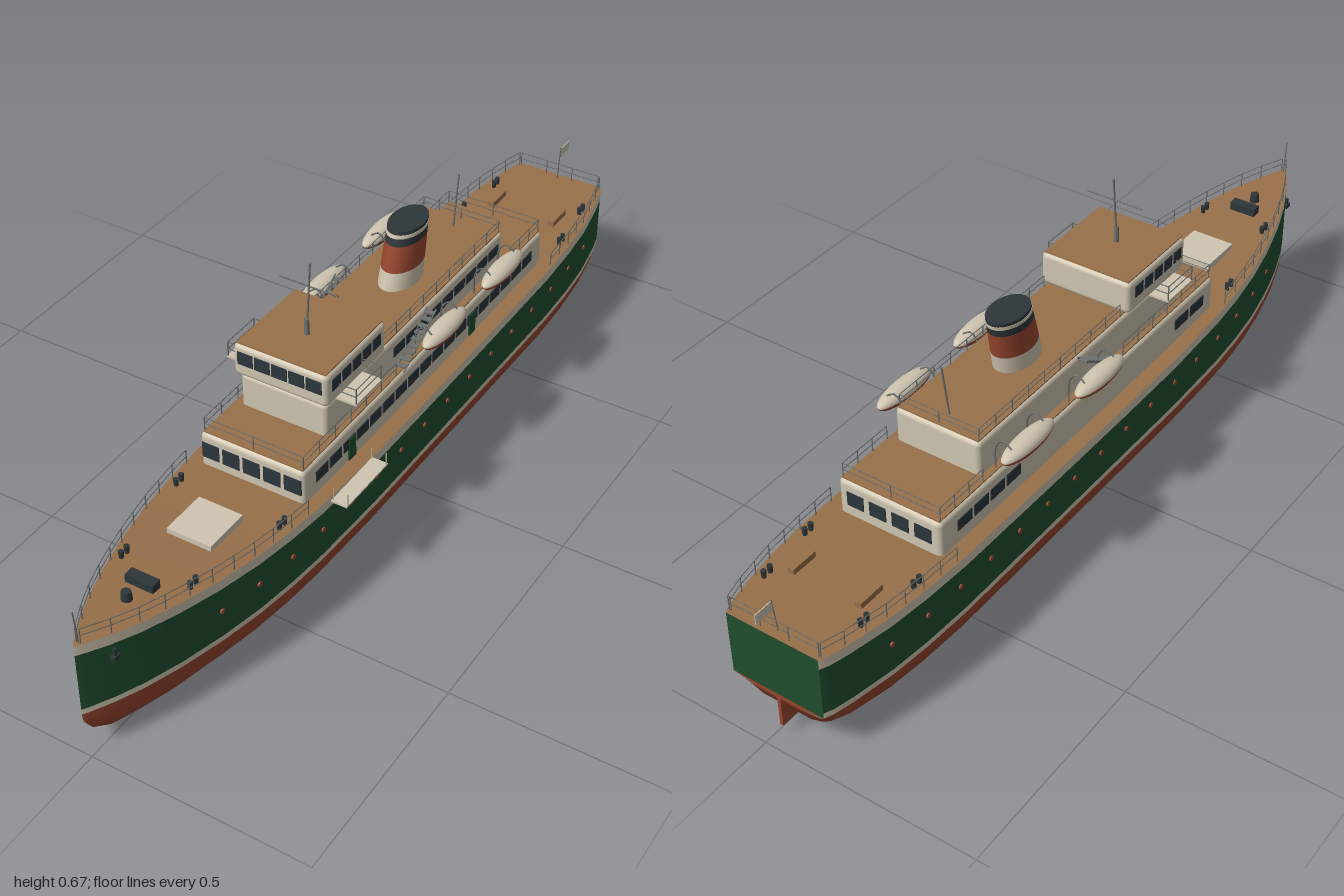
import * as THREE from 'three';
import { mergeGeometries } from 'three/addons/utils/BufferGeometryUtils.js';
import { RoundedBoxGeometry } from 'three/addons/geometries/RoundedBoxGeometry.js';

const mat = (name, color) => Object.assign(new THREE.MeshStandardMaterial({ color }), { name });
const V = (x, y, z) => new THREE.Vector3(x, y, z);

export function createModel() {
  const M = {
    green: mat('hullGreen', 0x1f4d2e), red: mat('rustRed', 0x98462f), cream: mat('cream', 0xcfc5b0),
    deck: mat('deckBrown', 0x98704a), dark: mat('charcoal', 0x2d363a), glass: mat('windowGlass', 0x2b363c),
    metal: mat('railGrey', 0x6c706e),
  };
  const ship = new THREE.Group();
  ship.name = 'ship';
  ship.position.x = -0.013;

  const add = (name, material, geos) => {
    const list = [].concat(geos).map((g) => (g.index ? g.toNonIndexed() : g));
    const mesh = new THREE.Mesh(list.length > 1 ? mergeGeometries(list) : list[0], material);
    mesh.name = name;
    ship.add(mesh);
    return mesh;
  };
  const box = (w, h, d, x, y, z) => new THREE.BoxGeometry(w, h, d).translate(x, y, z);
  const cyl = (r0, r1, h, x, y, z, n = 12) => new THREE.CylinderGeometry(r1, r0, h, n).translate(x, y, z);
  const rod = (a, b, r = 0.0013) => {
    const d = b.clone().sub(a), g = new THREE.CylinderGeometry(r, r, d.length(), 5);
    g.applyQuaternion(new THREE.Quaternion().setFromUnitVectors(V(0, 1, 0), d.normalize()));
    const c = a.clone().add(b).multiplyScalar(0.5);
    return g.translate(c.x, c.y, c.z);
  };
  // surface through rows of points
  const loft = (rows) => {
    const n = rows[0].length, idx = [];
    for (let i = 0; i < rows.length - 1; i++) for (let j = 0; j < n - 1; j++) {
      const a = i * n + j, b = a + n;
      idx.push(a, b, a + 1, b, b + 1, a + 1);
    }
    const g = new THREE.BufferGeometry().setFromPoints(rows.flat());
    g.setAttribute('uv', new THREE.Float32BufferAttribute(new Float32Array(rows.length * n * 2), 2));
    g.setIndex(idx);
    g.computeVertexNormals();
    return g;
  };

  // hull stations: z, half width, keel height
  const stations = [
    [-0.965, 0.112, 0.1], [-0.945, 0.121, 0.06], [-0.9, 0.132, 0.036], [-0.8, 0.15, 0.022], [-0.7, 0.159, 0.016],
    [-0.58, 0.164, 0.012], [-0.3, 0.164, 0.012], [0, 0.164, 0.012], [0.2, 0.164, 0.012], [0.4, 0.158, 0.012],
    [0.5, 0.15, 0.012], [0.6, 0.137, 0.013], [0.7, 0.117, 0.016], [0.8, 0.09, 0.02], [0.88, 0.062, 0.027],
    [0.94, 0.035, 0.038], [0.98, 0.013, 0.06], [0.995, 0.004, 0.085], [1, 0, 0.105]];
  const sheer = (z) => (z > 0 ? 0.25 + 0.04 * z * z : 0.25 + 0.013 * z * z);
  const halfWidth = (z) => {
    const i = Math.max(1, stations.findIndex((s) => s[0] >= z)), a = stations[i - 1], b = stations[i];
    return THREE.MathUtils.mapLinear(z, a[0], b[0], a[1], b[1]);
  };
  const bilge = [[1, 1], [0.965, 0.72], [0.9, 0.47], [0.72, 0.19], [0.5, 0], [0, 0]];
  const section = ([z, w, k]) => {
    const half = bilge.map(([f, v]) => V(w * f, k + (0.11 - k) * v, z));
    return [...half, ...half.slice(0, -1).reverse().map((p) => V(-p.x, p.y, p.z))];
  };
  add('lowerHull', M.red, loft(stations.map(section)));
  const band = (low, high) => [1, -1].map((s) => loft(stations.map(([z, w]) => {
    const p = [V(s * w, high(z), z), V(s * w, low(z), z)];
    return s > 0 ? p : p.reverse();
  })));
  add('waterlineStripe', M.cream, band(() => 0.11, () => 0.123));
  add('upperHull', M.green, band(() => 0.123, (z) => sheer(z) - 0.024));
  add('bulwark', M.cream, band((z) => sheer(z) - 0.024, sheer));
  add('mainDeck', M.deck, loft(stations.map(([z, w]) => [V(-w, sheer(z), z), V(w, sheer(z), z)])));
  const across = (y, w) => [V(-w, y, -0.965), V(w, y, -0.965)];
  add('transom', M.green, loft([across(0.11, 0.112), across(sheer(-0.965), 0.112)]));
  add('transomFoot', M.red, loft([across(0.1, 0.056), across(0.11, 0.112)]));

  // superstructure with planked roofs
  const house = (name, w, y0, y1, z0, z1) => {
    const h = y1 - y0, d = z1 - z0, y = (y0 + y1) / 2, z = (z0 + z1) / 2;
    add(name, M.cream, new RoundedBoxGeometry(2 * w, h, d, 3, 0.012).translate(0, y, z));
    add(name + 'Roof', M.deck, box(2 * w - 0.012, 0.003, d - 0.012, 0, y1 + 0.0005, z));
  };
  house('lowerDeckhouse', 0.127, 0.235, 0.338, -0.61, 0.42);
  house('upperDeckhouse', 0.105, 0.325, 0.42, -0.45, 0.3);
  house('wheelhouse', 0.1135, 0.421, 0.5, 0.08, 0.31);

  // windows
  const panes = [];
  const sideRow = (s, x, y, h, z0, z1, n, fill = 0.8) => {
    const p = (z1 - z0) / n;
    for (let i = 0; i < n; i++) panes.push(box(0.004, h, p * fill, s * x, y, z0 + p * (i + 0.5)));
  };
  const endRow = (z, y, h, w, pitch, n) => {
    for (let i = 0; i < n; i++) panes.push(box(w, h, 0.004, (i - (n - 1) / 2) * pitch, y, z));
  };
  for (const s of [1, -1]) sideRow(s, 0.1135, 0.469, 0.028, 0.1, 0.295, 5);
  sideRow(1, 0.127, 0.298, 0.027, -0.56, 0.38, 18, 0.86);
  sideRow(-1, 0.127, 0.298, 0.027, -0.56, -0.34, 4, 0.86);
  sideRow(-1, 0.127, 0.298, 0.027, 0.25, 0.38, 2, 0.86);
  sideRow(1, 0.105, 0.385, 0.024, -0.43, 0.04, 9, 0.86);
  endRow(0.31, 0.469, 0.031, 0.037, 0.0415, 5);
  endRow(0.42, 0.297, 0.038, 0.041, 0.05, 5);
  endRow(-0.61, 0.297, 0.034, 0.041, 0.056, 4);
  add('windows', M.glass, panes);
  add('sideDoors', M.green, [0.24, -0.27].map((z) => box(0.007, 0.055, 0.026, 0.127, 0.282, z)));

  // bridge wings
  const rails = [];
  for (const s of [1, -1]) {
    add('bridgeWing', M.cream, box(0.056, 0.005, 0.1, s * 0.13, 0.4225, 0.22));
    for (const z of [0.172, 0.268]) {
      rails.push(rod(V(s * 0.156, 0.42, z), V(s * 0.156, 0.462, z), 0.0016));
      for (const y of [0.442, 0.46]) rails.push(rod(V(s * 0.11, y, z), V(s * 0.156, y, z)));
    }
    for (const y of [0.442, 0.46]) rails.push(rod(V(s * 0.156, y, 0.172), V(s * 0.156, y, 0.268)));
  }

  // railings
  const rail = (pts, h) => pts.forEach((p, i) => {
    rails.push(rod(p, p.clone().setY(p.y + h)));
    const q = pts[i + 1];
    if (q) for (const k of [0.55, 1]) rails.push(rod(V(p.x, p.y + h * k, p.z), V(q.x, q.y + h * k, q.z), 0.001));
  });
  const run = (s, z0, z1, n) => Array.from({ length: n + 1 }, (_, i) => {
    const z = z0 + ((z1 - z0) * i) / n;
    return V(s * Math.max(0, halfWidth(z) - 0.005), sheer(z), z);
  });
  for (const s of [1, -1]) {
    rail(run(s, 0.44, 0.985, 10), 0.036);
    rail(run(s, -0.955, -0.6, 7), 0.036);
    const line = (x, y, z0, z1, n) => Array.from({ length: n + 1 }, (_, i) => V(s * x, y, z0 + ((z1 - z0) * i) / n));
    rail([V(0, 0.338, 0.41), ...line(0.12, 0.338, 0.41, 0.05, 6)], 0.034);
    rail([V(0, 0.338, -0.6), ...line(0.12, 0.338, -0.6, -0.46, 3)], 0.034);
    rail([V(0, 0.42, -0.44), ...line(0.098, 0.42, -0.44, 0.07, 9)], 0.03);
  }
  rail([V(-0.107, 0.262, -0.955), V(-0.035, 0.262, -0.955), V(0.035, 0.262, -0.955), V(0.107, 0.262, -0.955)], 0.036);
  add('railings', M.metal, rails);

  // raked oval funnel in stacked colour bands
  const slice = (y0, y1, grow = 0) => {
    const r = (y) => 0.043 - (y - 0.42) * 0.03 + grow;
    const g = new THREE.CylinderGeometry(r(y1), r(y0), y1 - y0, 32).scale(1, 1, 1.55).translate(0, (y0 + y1) / 2, -0.17);
    const p = g.attributes.position;
    for (let i = 0; i < p.count; i++) p.setZ(i, p.getZ(i) - (p.getY(i) - 0.42) * 0.22);
    g.computeVertexNormals();
    return g;
  };
  add('funnelBase', M.cream, [slice(0.415, 0.463), slice(0.541, 0.549, 0.0008)]);
  add('funnelBand', M.red, slice(0.463, 0.523));
  add('funnelTop', M.dark, slice(0.523, 0.557));

  // masts, staffs and flag
  add('masts', M.metal, [
    rod(V(0, 0.5, 0.207), V(0, 0.665, 0.19), 0.0022), cyl(0.006, 0.005, 0.04, 0, 0.52, 0.206),
    rod(V(-0.07, 0.613, 0.195), V(0.07, 0.613, 0.195), 0.0018), new THREE.SphereGeometry(0.003, 8, 6).translate(0, 0.665, 0.19),
    rod(V(0, 0.42, -0.405), V(0, 0.55, -0.425), 0.002),
    rod(V(0, 0.285, 0.985), V(0, 0.37, 0.992), 0.0015), rod(V(0, 0.26, -0.945), V(0, 0.347, -0.955), 0.0015)]);
  add('flag', M.cream, box(0.002, 0.023, 0.046, 0, 0.332, -0.977));

  // lifeboats, davits and stairs
  const boatHalf = (top, z, s) => new THREE.SphereGeometry(1, 24, 8, 0, Math.PI * 2, top ? 0 : Math.PI / 2, Math.PI / 2)
    .scale(0.025, 0.02, 0.086).translate(s * 0.155, 0.387, z);
  const davits = [], steps = [];
  for (const s of [1, -1]) {
    for (const z of [-0.355, -0.095]) {
      add('lifeboatCover', M.cream, boatHalf(true, z, s));
      add('lifeboatHull', M.red, boatHalf(false, z, s));
      for (const dz of [-0.055, 0.055]) {
        const c = new THREE.CatmullRomCurve3([V(s * 0.115, 0.337, z + dz), V(s * 0.117, 0.395, z + dz),
          V(s * 0.135, 0.415, z + dz), V(s * 0.155, 0.403, z + dz)]);
        davits.push(new THREE.TubeGeometry(c, 10, 0.002, 5));
      }
    }
    for (let i = 0; i < 9; i++) steps.push(box(0.022, 0.003, 0.013, s * 0.117, 0.346 + i * 0.0085, 0.02 - i * 0.0145));
    for (const x of [0.106, 0.128]) steps.push(rod(V(s * x, 0.338, 0.03), V(s * x, 0.42, -0.105), 0.002));
  }
  add('davits', M.metal, davits);
  add('stairs', M.metal, steps);

  // deck fittings
  add('cargoHatch', M.cream, box(0.106, 0.022, 0.11, 0, 0.268, 0.585));
  add('windlass', M.dark, [box(0.066, 0.022, 0.024, 0, 0.284, 0.79), cyl(0.012, 0.01, 0.022, 0, 0.288, 0.84, 16)]);
  const bollards = [], ports = [], benches = [], anchors = [];
  for (const s of [1, -1]) {
    for (const z of [-0.84, -0.7, 0.5, 0.74]) for (const d of [-0.009, 0.009])
      bollards.push(cyl(0.005, 0.006, 0.018, s * (halfWidth(z) - 0.024), sheer(z) + 0.009, z + d, 8));
    for (let z = -0.8; z < 0.75; z += 0.1)
      ports.push(new THREE.CylinderGeometry(0.006, 0.006, 0.006, 12).rotateZ(Math.PI / 2).translate(s * halfWidth(z), 0.19, z));
    benches.push(box(0.016, 0.014, 0.065, s * 0.083, 0.265, -0.78));
    anchors.push(box(0.006, 0.024, 0.007, s * 0.041, 0.238, 0.935), box(0.011, 0.009, 0.018, s * 0.041, 0.23, 0.935));
  }
  add('bollards', M.dark, bollards);
  add('portholes', M.red, ports);
  add('benches', M.deck, benches);
  add('anchors', M.dark, anchors);

  // boarding platform on the left side
  add('boardingPlatform', M.cream, box(0.038, 0.004, 0.16, 0.184, 0.254, 0.3));
  add('platformPosts', M.cream, [0.168, 0.202].flatMap((x) => [0.225, 0.375].map((z) => rod(V(x, 0.254, z), V(x, 0.285, z)))));

  // rudder and propeller
  add('rudder', M.red, box(0.008, 0.078, 0.05, 0, 0.064, -0.94));
  add('propeller', M.deck, [box(0.02, 0.05, 0.01, 0, 0.025, -0.886),
    new THREE.CylinderGeometry(0.006, 0.006, 0.07, 10).rotateX(Math.PI / 2).translate(0, 0.028, -0.86)]);
  return ship;
}
